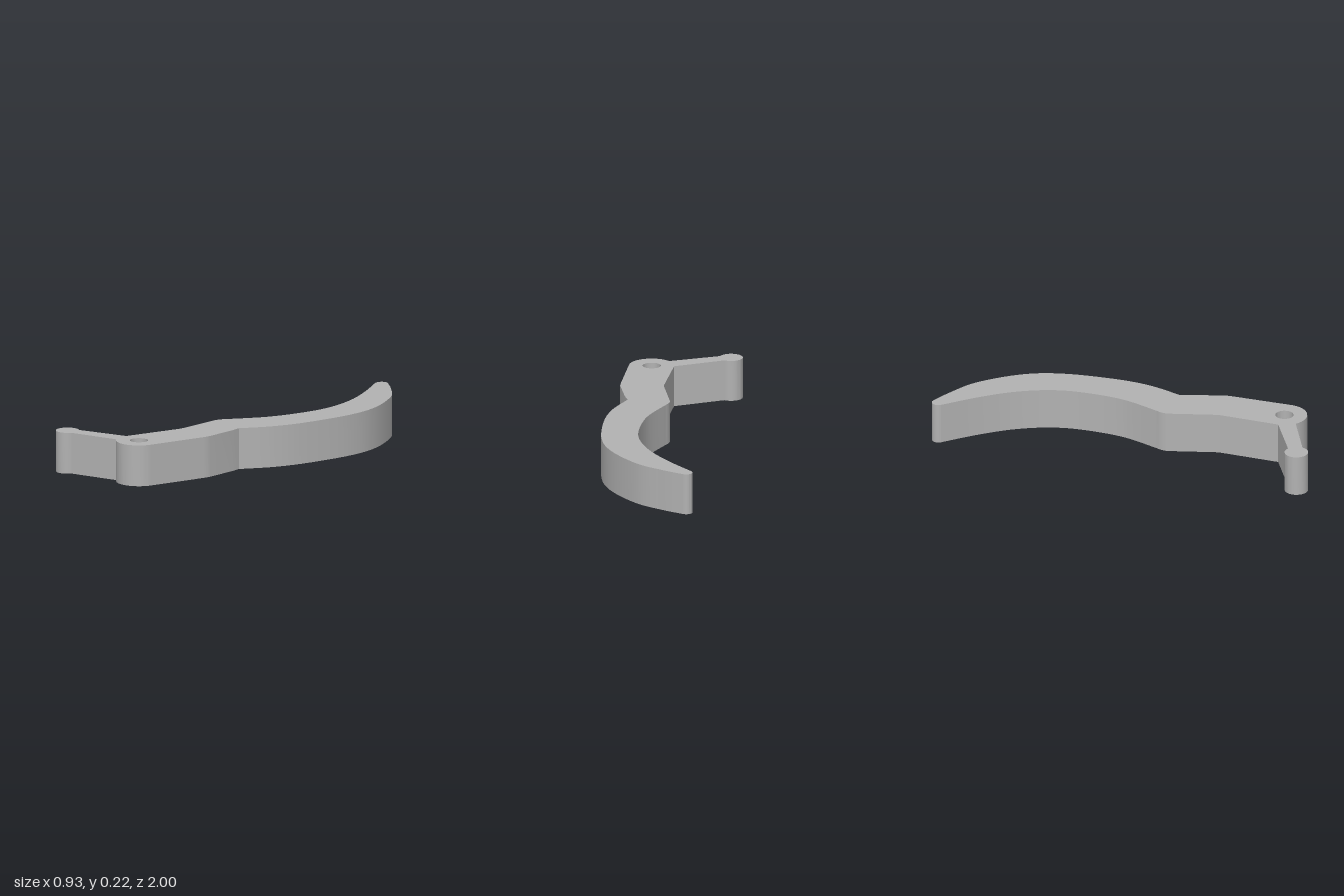
import * as THREE from 'three';
import { toCreasedNormals } from 'three/addons/utils/BufferGeometryUtils.js';

const HEIGHT = 0.22;
const v = (x, y) => new THREE.Vector2(x, y);

// Plan outline, drawn with shape y pointing to the back (-z), clockwise
function leverOutline() {
  const s = new THREE.Shape();
  // rounded tip of the hook
  s.absarc(0.1, 0.967, 0.033, Math.PI + 0.45, 1.0, true);
  // outer edge of the curved blade
  s.splineThru([v(0.217, 0.91), v(0.34, 0.775), v(0.442, 0.545),
    v(0.461, 0.33), v(0.41, 0.05), v(0.34, -0.14), v(0.235, -0.3)]);
  // waist, outer side
  s.lineTo(0.241, -0.36);
  s.lineTo(0.241, -0.53);
  s.quadraticCurveTo(0.241, -0.55, 0.234, -0.575);
  // pivot boss
  s.absarc(0.03, -0.856, 0.12, -0.25, -2.58, true);
  // short arm with a round end
  s.absarc(-0.402, -0.937, 0.062, -0.5, 0.83, true);
  s.lineTo(-0.085, -0.828);
  // waist, inner side
  s.lineTo(0.008, -0.53);
  s.quadraticCurveTo(0.015, -0.51, 0.015, -0.48);
  s.lineTo(0.018, -0.25);
  s.quadraticCurveTo(0.02, -0.215, 0.048, -0.185);
  // inner edge of the curved blade
  s.splineThru([v(0.175, 0.005), v(0.25, 0.23), v(0.265, 0.4),
    v(0.235, 0.58), v(0.164, 0.765), v(0.07, 0.95)]);
  s.closePath();
  // pivot hole
  const hole = new THREE.Path();
  hole.absarc(0.03, -0.856, 0.048, 0, Math.PI * 2, false);
  s.holes.push(hole);
  return s;
}

export function createModel() {
  const group = new THREE.Group();
  group.name = 'hookedLever';
  const grey = new THREE.MeshStandardMaterial({ color: 0xb2b2b2 });
  grey.name = 'grey';

  const extruded = new THREE.ExtrudeGeometry(leverOutline(), {
    depth: HEIGHT, bevelEnabled: false, curveSegments: 16,
  });
  extruded.rotateX(-Math.PI / 2);
  const lever = new THREE.Mesh(toCreasedNormals(extruded, 0.35), grey);
  lever.name = 'lever';
  group.add(lever);
  return group;
}
